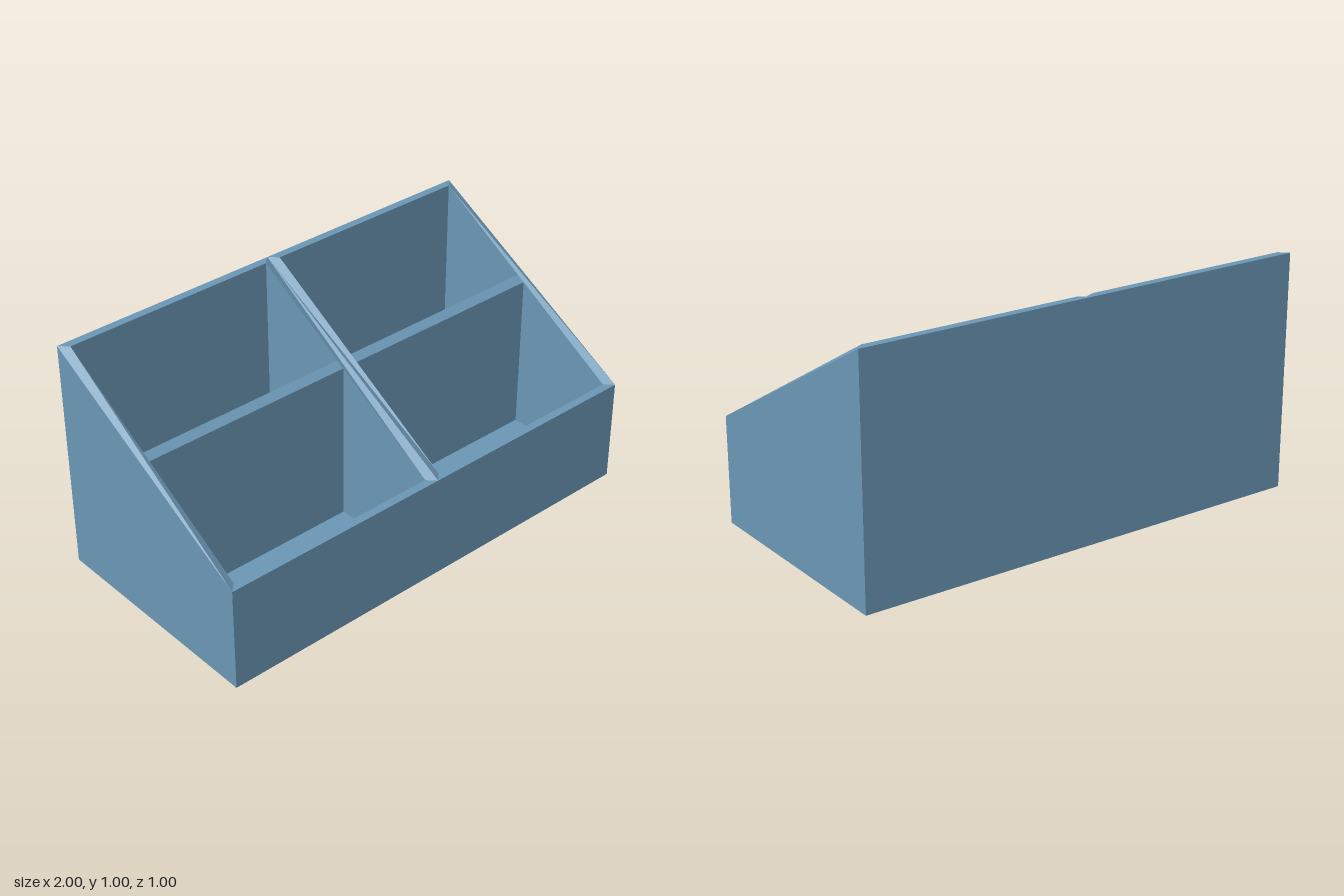
import * as THREE from 'three';

const WALL = 0.035, FLOOR = 0.035, FRONT_H = 0.45, BACK_H = 1;
const RAIL_FRONT = -0.005, RAIL_BACK = -0.04;
const INNER = 0.5 - WALL;

// Height of the sloping inner rim at a given depth
const rimY = z => THREE.MathUtils.mapLinear(z, INNER, -INNER, FRONT_H, BACK_H);

// Flat-faced geometry from quads; side = -1 mirrors it across x
function quadGeometry(quads, side) {
  const pos = [];
  for (const [a, b, c, d] of quads) {
    const corners = side > 0 ? [a, b, c, a, c, d] : [a, c, b, a, d, c];
    for (const [x, y, z] of corners) pos.push(x * side, y, z);
  }
  const geo = new THREE.BufferGeometry();
  geo.setAttribute('position', new THREE.Float32BufferAttribute(pos, 3));
  geo.computeVertexNormals();
  return geo;
}

// Rectangle of corners, counter-clockwise seen from above
const ring = (x0, x1, zf, zb, yf, yb) => [[x0, yf, zf], [x1, yf, zf], [x1, yb, zb], [x0, yb, zb]];

// Band of quads joining two rings
const band = (p, q) => p.map((_, i) => [p[i], p[(i + 1) % 4], q[(i + 1) % 4], q[i]]);

export function createModel() {
  const group = new THREE.Group();
  group.name = 'slopedOrganizer';
  const blue = new THREE.MeshStandardMaterial({ color: 0x6b97b5 });
  blue.name = 'slate blue';

  for (const side of [1, -1]) {
    const bay = new THREE.Group();
    bay.name = side > 0 ? 'leftBay' : 'rightBay';
    group.add(bay);
    const add = (name, quads) => {
      const mesh = new THREE.Mesh(quadGeometry(quads, side), blue);
      mesh.name = name;
      bay.add(mesh);
    };
    const x0 = WALL, x1 = 1 - WALL;
    const base = ring(0, 1, 0.5, -0.5, 0, 0);
    const outer = ring(0, 1, 0.5, -0.5, FRONT_H, BACK_H);
    const inner = ring(x0, x1, INNER, -INNER, FRONT_H, BACK_H);

    // Outer shell: front, side and back walls, plus the underside
    add('outerWalls', band(base, outer).slice(0, 3));
    add('underside', [[...base].reverse()]);

    // Mitred rim and the cross rail between the compartments
    add('rim', band(outer, inner));
    add('crossRail', [ring(x0, x1, RAIL_FRONT, RAIL_BACK, rimY(RAIL_FRONT), rimY(RAIL_BACK))]);

    // Two open compartments
    for (const [name, zf, zb] of [
      ['frontCompartment', INNER, RAIL_FRONT],
      ['backCompartment', RAIL_BACK, -INNER],
    ]) {
      const top = ring(x0, x1, zf, zb, rimY(zf), rimY(zb));
      const floor = ring(x0, x1, zf, zb, FLOOR, FLOOR);
      add(name, [...band(top, floor), floor]);
    }
  }
  return group;
}
